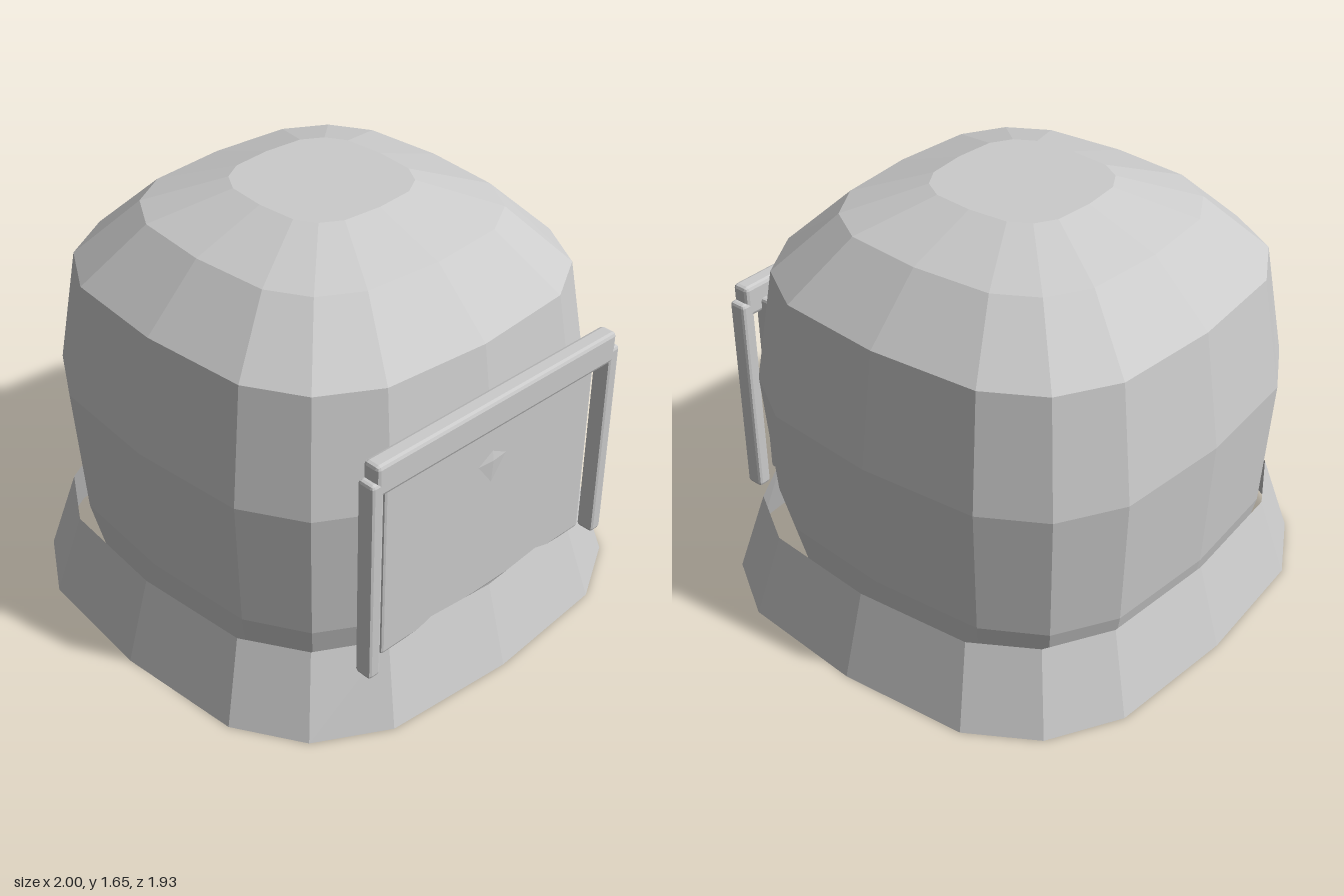
import * as THREE from 'three';
import { RoundedBoxGeometry } from 'three/addons/geometries/RoundedBoxGeometry.js';

const material = new THREE.MeshStandardMaterial({ color: 0xcccccc, flatShading: true, side: THREE.DoubleSide });

// Sixteen-sided rounded-square outline, built from one quadrant
const quadrant = [[1, 0], [0.955, 0.53], [0.795, 0.8], [0.53, 0.955]];
const outline = [];
for (let q = 0; q < 4; q++) {
  for (const [x, z] of quadrant) {
    outline.push([[x, z], [-z, x], [-x, -z], [z, -x]][q]);
  }
}

// Shell lofted through rings of [y, half width, half depth, z centre], bottom to top
function loft(name, rings, capped) {
  const positions = [];
  const index = [];
  const n = outline.length;
  for (const [y, halfX, halfZ, cz] of rings) {
    for (const [x, z] of outline) positions.push(x * halfX, y, z * halfZ + cz);
  }
  for (let i = 0; i < rings.length - 1; i++) {
    for (let j = 0; j < n; j++) {
      const k = (j + 1) % n;
      const a = i * n + j, b = i * n + k, c = a + n, d = b + n;
      index.push(a, c, b, b, c, d);
    }
  }
  if (capped) {
    const [y, , , cz] = rings[rings.length - 1];
    const base = (rings.length - 1) * n;
    positions.push(0, y, cz);
    for (let j = 0; j < n; j++) index.push(rings.length * n, base + (j + 1) % n, base + j);
  }
  const geometry = new THREE.BufferGeometry();
  geometry.setAttribute('position', new THREE.Float32BufferAttribute(positions, 3));
  geometry.setIndex(index);
  geometry.computeVertexNormals();
  const mesh = new THREE.Mesh(geometry, material);
  mesh.name = name;
  return mesh;
}

// Chamfered block given by its extents on each axis
function block(name, [x0, x1], [y0, y1], [z0, z1], chamfer) {
  const mesh = new THREE.Mesh(new RoundedBoxGeometry(x1 - x0, y1 - y0, z1 - z0, 1, chamfer), material);
  mesh.position.set((x0 + x1) / 2, (y0 + y1) / 2, (z0 + z1) / 2);
  mesh.name = name;
  return mesh;
}

export function createModel() {
  const model = new THREE.Group();
  model.name = 'helmet';

  // Dome, open underneath
  model.add(loft('dome', [
    [0.04, 0.77, 0.77, -0.022],
    [0.36, 0.842, 0.842, -0.022],
    [0.88, 0.875, 0.875, -0.022],
    [1.33, 0.805, 0.807, -0.022],
    [1.55, 0.58, 0.578, -0.022],
    [1.65, 0.292, 0.295, -0.022],
  ], true));

  // Flared neck skirt, open at both ends
  model.add(loft('neckSkirt', [
    [0, 1, 0.965, 0],
    [0.33, 0.9, 0.87, 0],
  ], false));

  // Face panel and its three-sided frame
  const visor = new THREE.Group();
  visor.name = 'visor';
  visor.add(block('facePanel', [-0.53, 0.53], [0.3, 1.095], [0.773, 0.847], 0.012));
  visor.add(block('frameTopBar', [-0.6, 0.6], [1.04, 1.165], [0.812, 0.884], 0.015));
  for (const side of [-1, 1]) {
    const post = block('framePost', [0.568, 0.624], [0.265, 1.1], [0.812, 0.884], 0.013);
    post.position.x *= side;
    post.name = side > 0 ? 'leftFramePost' : 'rightFramePost';
    visor.add(post);
  }
  model.add(visor);
  return model;
}
